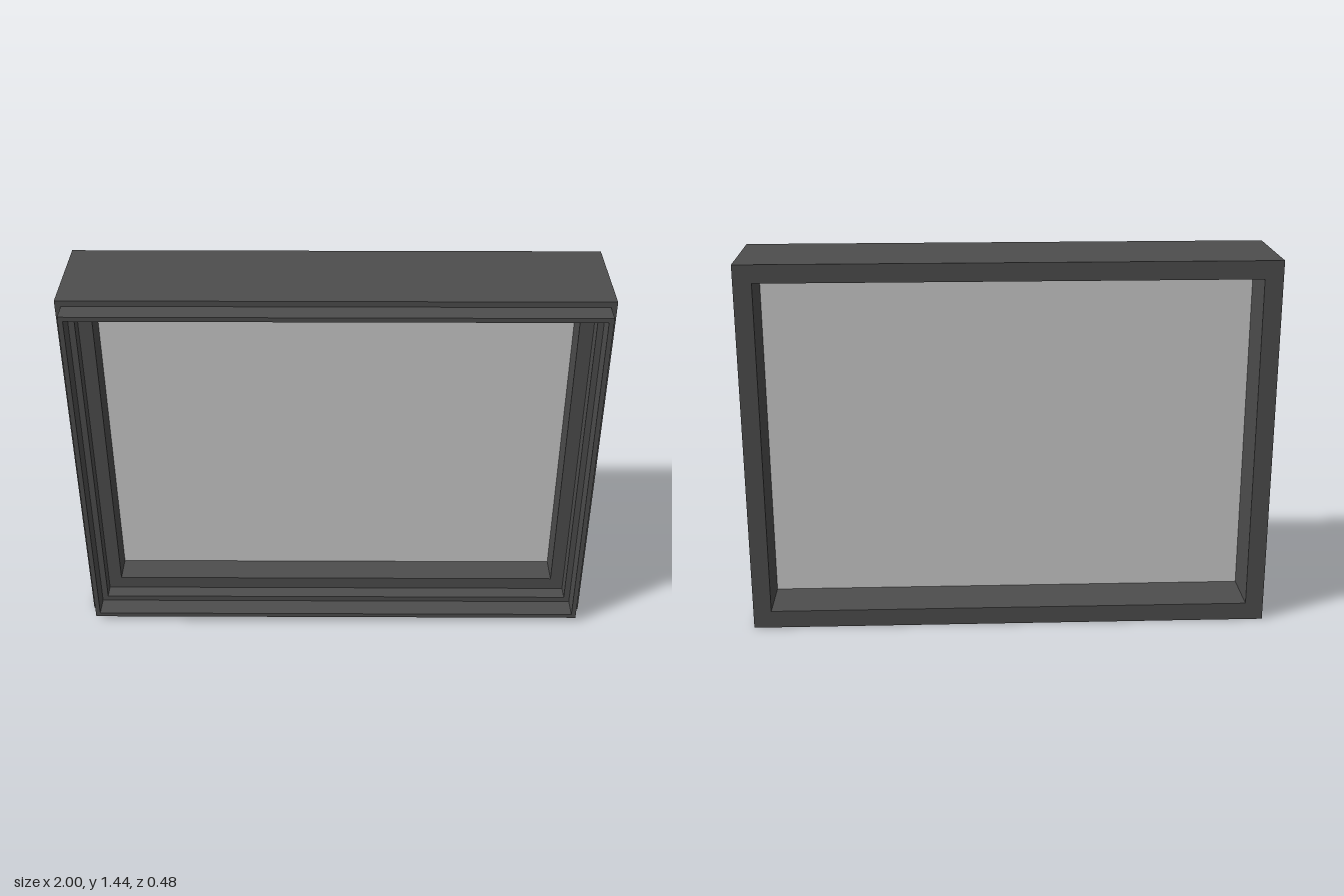
import * as THREE from 'three';

const W = 2, H = 1.438;

// Rectangle outline, inset evenly from the overall width and height
function outline(PathType, inset) {
  const x = W / 2 - inset, y0 = inset, y1 = H - inset;
  return new PathType([
    new THREE.Vector2(-x, y0), new THREE.Vector2(x, y0),
    new THREE.Vector2(x, y1), new THREE.Vector2(-x, y1),
  ]);
}

// Rectangular ring between two insets, running from z0 to z1
function ring(name, outer, inner, z0, z1, material) {
  const shape = outline(THREE.Shape, outer);
  shape.holes.push(outline(THREE.Path, inner));
  const geometry = new THREE.ExtrudeGeometry(shape, { depth: z1 - z0, bevelEnabled: false });
  geometry.translate(0, 0, z0);
  const mesh = new THREE.Mesh(geometry, material);
  mesh.name = name;
  return mesh;
}

export function createModel() {
  const group = new THREE.Group();
  group.name = 'boxFrame';
  const dark = new THREE.MeshStandardMaterial({ color: 0x4d4d4d });
  const grey = new THREE.MeshStandardMaterial({ color: 0xcccccc });

  // Deep casing in two halves, thin front lip and inner bezel
  const panelFront = -0.006, panelBack = -0.034;
  group.add(
    ring('rearCasing', 0, 0.069, -0.239, panelFront, dark),
    ring('frontCasing', 0, 0.063, panelFront, 0.16, dark),
    ring('frontLip', 0.022, 0.04, 0.16, 0.239, dark),
    ring('innerBezel', 0.063, 0.115, panelFront, 0.104, dark),
  );

  // Flat panel behind the bezel, filling the rear casing
  const panel = new THREE.Mesh(
    new THREE.BoxGeometry(W - 0.138, H - 0.138, panelFront - panelBack), grey);
  panel.name = 'panel';
  panel.position.set(0, H / 2, (panelFront + panelBack) / 2);
  group.add(panel);

  return group;
}
